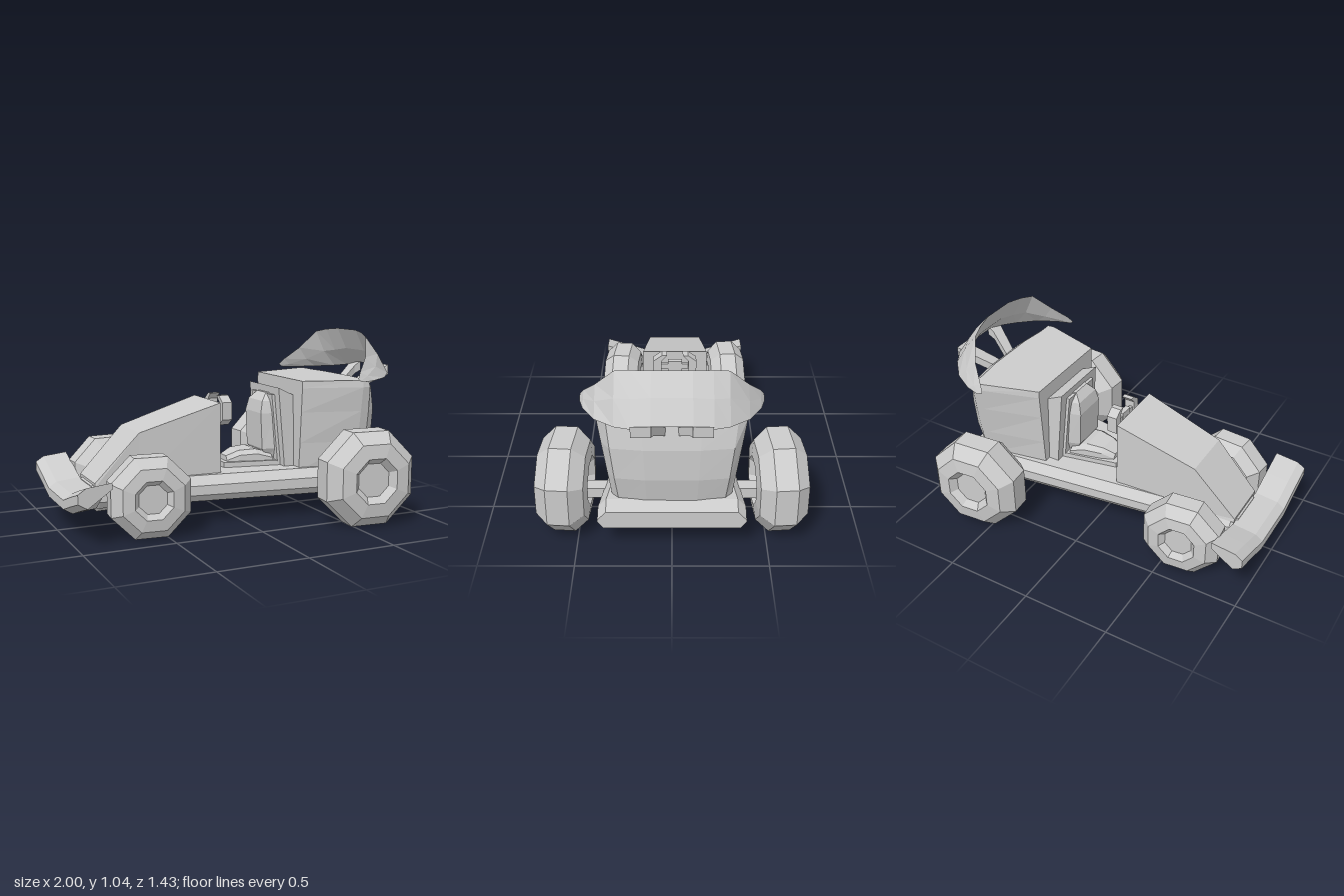
import * as THREE from 'three';

const mat = new THREE.MeshStandardMaterial({ color: 0xcccccc, flatShading: true, side: THREE.DoubleSide });

// Skins a list of equal-length point loops and caps both ends
function loft(loops) {
  const n = loops[0].length, tris = [];
  for (let i = 0; i < loops.length - 1; i++) {
    for (let j = 0; j < n; j++) {
      const k = (j + 1) % n;
      const [a, b, c, d] = [loops[i][j], loops[i][k], loops[i + 1][k], loops[i + 1][j]];
      tris.push([a, b, c], [a, c, d]);
    }
  }
  const cap = (loop, flip) => {
    const mid = [0, 1, 2].map(i => loop.reduce((s, p) => s + p[i], 0) / n);
    loop.forEach((p, j) => {
      const q = loop[(j + 1) % n];
      tris.push(flip ? [mid, q, p] : [mid, p, q]);
    });
  };
  cap(loops[0], true);
  cap(loops[loops.length - 1], false);
  // Turn every face outward if the solid came out inverted
  const v = p => new THREE.Vector3(...p);
  const volume = tris.reduce((s, [a, b, c]) => s + v(a).dot(v(b).cross(v(c))), 0);
  if (volume < 0) tris.forEach(t => t.reverse());
  const g = new THREE.BufferGeometry();
  g.setAttribute('position', new THREE.Float32BufferAttribute(tris.flat(2), 3));
  g.computeVertexNormals();
  return g;
}

// Mirrored loop across z at a station x; half is a list of [z, y] or [z, y, x]
const station = (x, zc, half) => [
  ...half.map(([z, y, px = x]) => [px, y, zc + z]),
  ...[...half].reverse().map(([z, y, px = x]) => [px, y, zc - z]),
];

export function createModel() {
  const car = new THREE.Group();
  car.name = 'goKart';
  const add = (name, geo, parent = car) => {
    const m = new THREE.Mesh(geo, mat);
    m.name = name;
    parent.add(m);
    return m;
  };
  const box = (name, w, h, d, x, y, z, parent) => {
    const m = add(name, new THREE.BoxGeometry(w, h, d), parent);
    m.position.set(x, y, z);
    return m;
  };

  // Tapered floor with bevelled rims
  const floor = (x, zc, w, lo = 0.13, hi = 0.27) => station(x, zc, [
    [w - 0.03, lo], [w, lo + 0.04], [w, hi - 0.05], [w - 0.045, hi],
  ]);
  add('chassis', loft([
    floor(-0.83, -0.015, 0.15, 0.135, 0.25), floor(-0.8, -0.015, 0.165),
    floor(0.8, 0, 0.385, 0.13, 0.28), floor(0.875, 0, 0.385, 0.15, 0.25),
  ]));
  add('keel', loft([
    station(-0.84, -0.015, [[0.05, 0.12], [0.1, 0.14]]),
    station(0.78, 0, [[0.13, 0.12], [0.3, 0.135]]),
  ]));

  // Wedge-shaped bonnet with pedals behind it
  const hood = (x, w, top) => station(x, -0.016, [[w + 0.005, 0.25], [w, top]]);
  add('bonnet', loft([
    hood(-0.82, 0.14, 0.27), hood(-0.57, 0.155, 0.53), hood(-0.1, 0.185, 0.67),
  ]));
  for (const s of [-1, 1]) box('pedal', 0.03, 0.08, 0.06, -0.09, 0.4, -0.016 + s * 0.1);

  // Engine cover, flaring upward with chamfered rear corners
  const levels = [[0.26, 0], [0.42, 0.333], [0.6, 0.708], [0.74, 1], [0.78, 0.93]];
  const bulge = [-0.03, 0, 0, -0.03, -0.08];
  const cover = (x, b, t, curve = 0) => station(x, 0, levels.map(
    ([y, f], i) => [b + (t - b) * f, y, x + bulge[i] * curve]));
  add('engineCover', loft([
    cover(0.36, 0.25, 0.28), cover(0.7, 0.315, 0.385), cover(0.755, 0.31, 0.38, 0.2),
    cover(0.815, 0.275, 0.33, 1), cover(0.835, 0.13, 0.15, 1), cover(0.835, 0, 0, 1),
  ]));

  // Seat: backing panel, padded back and cushion
  const seat = new THREE.Group();
  seat.name = 'seat';
  car.add(seat);
  const slab = (y, x0, x1, w, drop = 0) => [[x0, y, -w], [x0, y, w], [x1, y - drop, w], [x1, y - drop, -w]]
    .map(([x, h, z]) => [x, h, z - 0.012]);
  add('seatPanel', loft([slab(0.27, 0.3, 0.37, 0.2), slab(0.735, 0.265, 0.37, 0.185, 0.05)]), seat);
  add('seatFrame', loft([slab(0.3, 0.28, 0.33, 0.15), slab(0.69, 0.25, 0.3, 0.13)]), seat);
  add('seatBack', loft([[0.31, 0.24, 0.1], [0.37, 0.205, 0.125], [0.58, 0.195, 0.125],
    [0.65, 0.21, 0.11], [0.695, 0.25, 0.07]].map(([y, x, w]) =>
    [[x, y, -w * 0.8], [x, y, w * 0.8], [0.28, y, w], [0.28, y, -w]]
      .map(([a, b, c]) => [a, b, c - 0.012]))), seat);
  const pad = (x, w, top) => station(x, -0.012, [[w, 0.29], [w, top - 0.025], [w * 0.7, top]]);
  add('seatCushion', loft([pad(0, 0.055, 0.335), pad(0.07, 0.085, 0.365),
    pad(0.17, 0.11, 0.37), pad(0.26, 0.13, 0.345)]), seat);
  add('seatBase', loft([
    station(-0.03, -0.012, [[0.08, 0.27], [0.08, 0.305]]),
    station(0.3, -0.012, [[0.15, 0.27], [0.15, 0.305]]),
  ]), seat);

  // Steering wheel with two upright grips
  const steering = new THREE.Group();
  steering.name = 'steeringWheel';
  steering.position.set(-0.03, 0.61, -0.016);
  car.add(steering);
  box('steeringColumn', 0.1, 0.03, 0.03, -0.045, -0.015, 0, steering);
  box('steeringHub', 0.03, 0.07, 0.08, -0.01, 0, 0, steering);
  box('steeringBar', 0.02, 0.03, 0.2, -0.01, 0, 0, steering);
  for (const s of [-1, 1]) {
    const grip = (y, z, d) => [[-0.03, y, z - d], [-0.03, y, z + d], [0.03, y, z + d], [0.03, y, z - d]];
    add('steeringGrip', loft([grip(-0.085, s * 0.06, 0.015), grip(-0.05, s * 0.1, 0.023),
      grip(0.05, s * 0.1, 0.023), grip(0.085, s * 0.06, 0.015)]), steering);
  }

  // Octagonal wheels with recessed hubs, toed along the tapered sides
  const half = [[0.285, 0.058], [0.218, 0.127], [0.135, 0.138], [0.1, 0.1], [0, 0.1]];
  const profile = [...half.map(([r, h]) => [r, -h]).reverse(), ...half]
    .map(([r, h]) => new THREE.Vector2(r, h));
  const wheelGeo = new THREE.LatheGeometry(profile, 8, Math.PI / 8).toNonIndexed();
  wheelGeo.rotateX(Math.PI / 2);
  wheelGeo.computeVertexNormals();
  for (const s of [-1, 1]) {
    const front = add('frontWheel', wheelGeo);
    front.scale.set(0.825, 0.825, 0.83);
    front.position.set(-0.593 + s * 0.012, 0.22, -0.015 + s * 0.328);
    front.rotation.y = -s * 0.09;
    const rear = add('rearWheel', wheelGeo);
    rear.position.set(0.602, 0.266, s * 0.568);
    rear.rotation.y = -s * 0.08;
  }
  box('frontAxle', 0.06, 0.06, 0.6, -0.59, 0.21, -0.015);
  box('rearAxle', 0.08, 0.06, 0.98, 0.61, 0.205, 0);

  // Front wing, thick at the nose and sweeping up toward its tips: z, y, rear underside drop
  const wingHalf = [[0.445, 0.275, -0.03], [0.3, 0.23, -0.015], [0.155, 0.182, 0.045]];
  const wing = [...wingHalf.map(([z, ...r]) => [-z, ...r]), ...[...wingHalf].reverse()];
  add('frontWing', loft(wing.map(([z, y, drop]) => [
    [-1, y + 0.02], [-0.955, y + 0.05], [-0.82, y + 0.065],
    [-0.82, y - drop], [-0.95, y - 0.06], [-1, y - 0.03],
  ].map(([x, h]) => [x, h, z - 0.015]))));

  // Crescent rear wing: z, top edge x/y, bottom edge x/y, thickness
  const blade = [
    [0.467, 0.61, 0.8, 0.65, 0.782, 0.004], [0.445, 0.635, 0.835, 0.73, 0.784, 0.01],
    [0.38, 0.71, 0.91, 0.845, 0.79, 0.015], [0.28, 0.775, 1.02, 0.935, 0.802, 0.02],
    [0.2, 0.8, 1.037, 0.978, 0.815, 0.022], [0.1, 0.822, 1.047, 0.992, 0.84, 0.022],
  ];
  const full = [...blade, ...[...blade].reverse().map(([z, ...r]) => [-z, ...r])];
  add('rearWing', loft(full.map(([z, tx, ty, bx, by, t]) => [
    [tx, ty, z], [(tx + bx) / 2 + t * 0.3, (ty + by) / 2 + t * 0.3, z], [bx, by, z],
    [bx - t, by - t * 0.3, z], [(tx + bx) / 2 - t, (ty + by) / 2 - t, z],
  ])));

  // Splayed struts holding the rear wing, broadening at the top
  for (const s of [-1, 1]) {
    const ring = (x, y, z, h, w) => [[x, y - h, z - w], [x, y - h, z + w], [x, y + h, z + w], [x, y + h, z - w]];
    add('wingStrut', loft([
      ring(0.79, 0.685, s * 0.055, 0.025, 0.033), ring(0.95, 0.785, s * 0.135, 0.025, 0.04),
      ring(0.995, 0.81, s * 0.148, 0.03, 0.05),
    ]));
  }
  return car;
}
